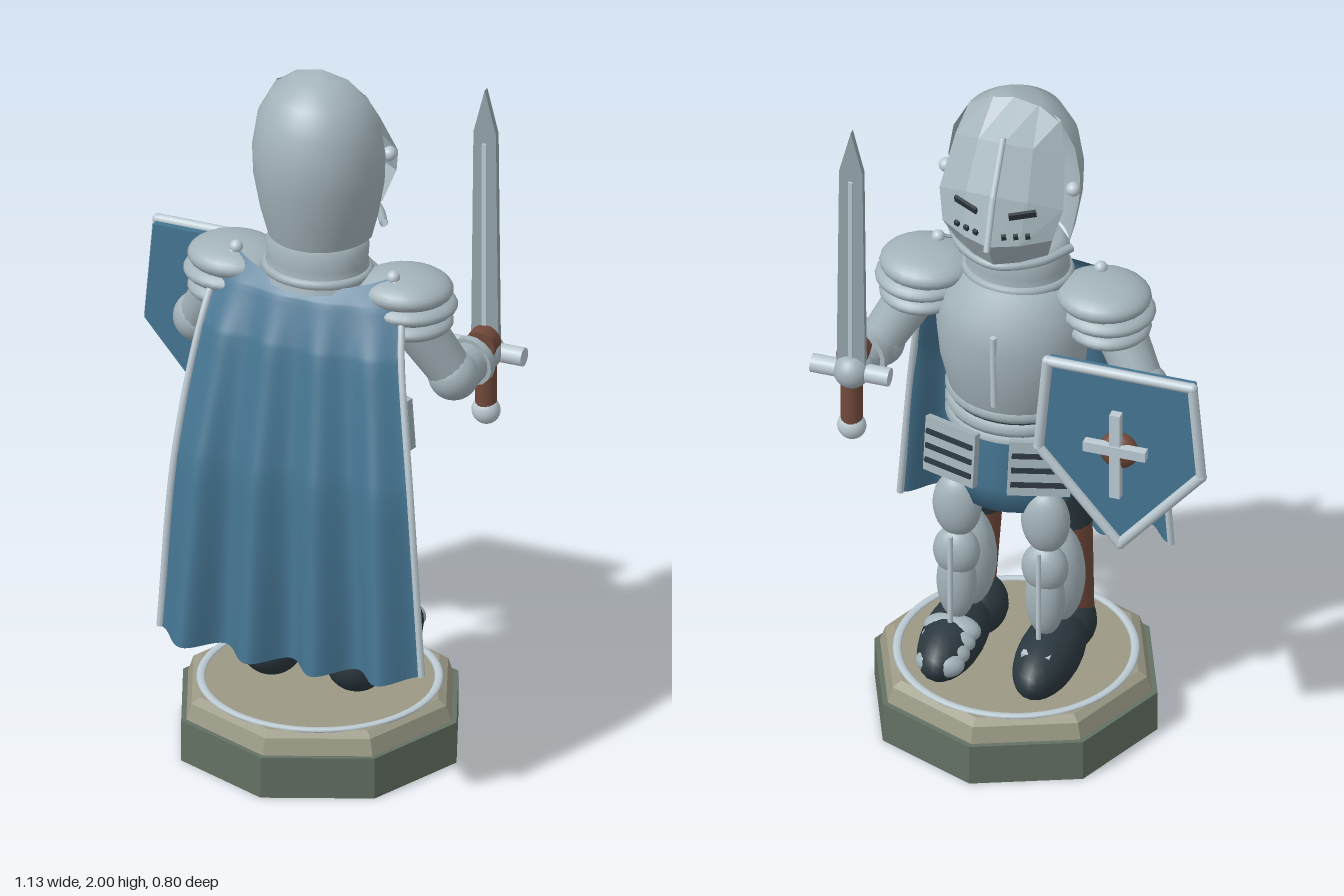
import * as THREE from 'three';

const mat = (name, color, double) => {
  const m = new THREE.MeshStandardMaterial({ color });
  m.name = name;
  if (double) m.side = THREE.DoubleSide;
  return m;
};
const C = 0.05; // body axis in x

export function createModel() {
  const steel = mat('steel', 0xa3b3ba, true), blue = mat('blueCloth', 0x457592, true);
  const dark = mat('darkLeather', 0x2b383f), brown = mat('brownLeather', 0x71493a);
  const stone = mat('stoneTop', 0x9b9985), green = mat('greenBase', 0x637064);
  const pale = mat('paleTrim', 0xbccad2), bladeMat = mat('blade', 0x93a4aa);
  const root = new THREE.Group();

  const add = (name, geo, m, x = 0, y = 0, z = 0) => {
    const mesh = new THREE.Mesh(geo, m);
    mesh.name = name;
    mesh.position.set(x, y, z);
    root.add(mesh);
    return mesh;
  };
  const flat = (geo) => {
    const g = geo.index ? geo.toNonIndexed() : geo;
    g.computeVertexNormals();
    return g;
  };
  const ball = (name, m, [x, y, z], [rx, ry, rz]) =>
    add(name, new THREE.SphereGeometry(1, 24, 16).scale(rx, ry, rz), m, x, y, z);
  const box = (name, m, [x, y, z], [w, h, d]) => add(name, new THREE.BoxGeometry(w, h, d), m, x, y, z);
  const rod = (name, m, a, b, ra, rb = ra, sides = 16) => {
    const p = new THREE.Vector3(...a), q = new THREE.Vector3(...b), d = q.clone().sub(p);
    const mesh = add(name, new THREE.CylinderGeometry(rb, ra, d.length(), sides), m);
    mesh.position.copy(p).add(q).multiplyScalar(0.5);
    mesh.quaternion.setFromUnitVectors(new THREE.Vector3(0, 1, 0), d.normalize());
    return mesh;
  };
  const lathe = (name, m, pts, z, sz, start = 0, sweep = Math.PI * 2) =>
    add(name, new THREE.LatheGeometry(pts.map((p) => new THREE.Vector2(...p)), 32, start, sweep).scale(1, 1, sz), m, C, 0, z);
  // surface from a function of (u, v), both 0..1
  const sheet = (nu, nv, f) => {
    const g = new THREE.PlaneGeometry(1, 1, nu, nv), p = g.attributes.position, uv = g.attributes.uv;
    for (let i = 0; i < p.count; i++) p.setXYZ(i, ...f(uv.getX(i), 1 - uv.getY(i)));
    g.computeVertexNormals();
    return g;
  };

  // eight-sided plinth
  add('plinth', flat(new THREE.CylinderGeometry(0.4, 0.4, 0.12, 8)), green, C, 0.06, 0);
  add('plinthStep', flat(new THREE.CylinderGeometry(0.37, 0.385, 0.045, 8)), stone, C, 0.1425, 0);
  add('plinthTop', flat(new THREE.CylinderGeometry(0.345, 0.37, 0.015, 8)), stone, C, 0.1725, 0);
  add('plinthRing', new THREE.TorusGeometry(0.32, 0.012, 8, 64).rotateX(Math.PI / 2).scale(1, 0.5, 1), pale, C, 0.18, 0);

  // legs, mirrored about the body axis
  for (const s of [-1, 1]) {
    const x = C + s * 0.125;
    ball('boot', dark, [x, 0.275, 0.035], [0.088, 0.09, 0.09]);
    ball('bootToe', dark, [x + s * 0.01, 0.27, -0.12], [0.085, 0.085, 0.19]);
    rod('shin', brown, [x + s * 0.015, 0.3, 0.055], [x, 0.63, 0.06], 0.06, 0.067);
    rod('thigh', dark, [x, 0.6, 0.06], [x - s * 0.01, 0.8, 0.06], 0.075, 0.09);
    ball('calfPlate', steel, [x, 0.48, -0.035], [0.08, 0.16, 0.07]);
    ball('shinPlate', steel, [x, 0.46, -0.13], [0.055, 0.12, 0.045]);
    ball('kneePlate', steel, [x, 0.56, -0.13], [0.065, 0.075, 0.05]);
    ball('thighPlate', steel, [x, 0.71, -0.125], [0.068, 0.1, 0.05]);
    rod('shinRidge', pale, [x, 0.36, -0.185], [x, 0.64, -0.185], 0.007);
  }
  for (let i = 0; i < 4; i++)
    ball('toePlate', steel, [0.18, 0.315 - i * 0.014, -0.15 - i * 0.035], [0.08 - i * 0.004, 0.04, 0.045]);
  for (const dx of [-0.03, 0.03]) box('bootBuckle', pale, [-0.08 + dx, 0.325, -0.22], [0.02, 0.02, 0.02]);

  // skirt, waist bands and hip plates
  lathe('skirt', blue, [[0, 0.745], [0.175, 0.74], [0.19, 0.82], [0.185, 0.97]], 0, 0.95);
  [0.965, 1.005, 1.05].forEach((y) => {
    lathe('waistBand', steel, [[0.15, y - 0.02], [0.185, y - 0.018], [0.195, y], [0.185, y + 0.018], [0.15, y + 0.02]], 0.005, 0.92);
    lathe('waistGap', dark, [[0.178, y - 0.025], [0.178, y + 0.02]], 0.005, 0.92);
  });
  for (const s of [-1, 1]) {
    const plate = new THREE.Group();
    plate.name = 'hipPlate';
    plate.position.set(C + s * 0.125, 0.915, -0.175);
    plate.rotation.set(0.15, -s * 0.35, 0);
    const body = new THREE.Mesh(new THREE.BoxGeometry(0.17, 0.16, 0.02), steel);
    body.name = 'hipPlateBody';
    plate.add(body);
    for (let i = 0; i < 3; i++) {
      const slot = new THREE.Mesh(new THREE.BoxGeometry(0.155, 0.014, 0.008), dark);
      slot.name = 'hipPlateSlot';
      slot.position.set(0, 0.04 - i * 0.043, -0.012);
      plate.add(slot);
    }
    root.add(plate);
  }

  // breastplate and collar
  lathe('breastplate', steel, [[0.15, 1.03], [0.175, 1.07], [0.2, 1.17], [0.21, 1.27], [0.19, 1.36], [0.13, 1.42], [0, 1.44]], -0.028, 0.82);
  rod('breastRidge', pale, [C, 1.1, -0.187], [C, 1.33, -0.197], 0.009);
  lathe('collar', steel, [[0.155, 1.4], [0.145, 1.43], [0.14, 1.46], [0.143, 1.5], [0.12, 1.54], [0, 1.55]], 0.015, 0.85);
  add('collarRoll', new THREE.TorusGeometry(0.14, 0.015, 10, 40).rotateX(Math.PI / 2).scale(1, 1, 0.85), steel, C, 1.425, 0.015);

  // helmet shell, dark face and pivots
  lathe('helmetShell', steel, [[0.145, 1.525], [0.165, 1.6], [0.183, 1.7], [0.186, 1.78], [0.172, 1.87], [0.135, 1.94], [0.075, 1.985], [0, 2]],
    -0.015, 1.07, -Math.PI / 2, Math.PI);
  ball('face', dark, [C, 1.72, -0.1], [0.13, 0.135, 0.052]);
  for (const s of [-1, 1]) ball('visorPivot', pale, [C + s * 0.18, 1.765, -0.055], [0.02, 0.02, 0.02]);

  // raised visor: rows of [centre y, centre z, side x, side y, side z]
  const rows = [[1.995, 0.015, 0.13, 1.95, -0.01], [1.91, -0.11, 0.155, 1.87, -0.05],
    [1.79, -0.19, 0.175, 1.74, -0.125], [1.66, -0.245, 0.155, 1.66, -0.16], [1.57, -0.195, 0.13, 1.58, -0.12]];
  const visorPoint = (u, v) => {
    const r = rows[Math.round(v * 4)], k = u * 2 - 1, t = k * k * 0.55 + Math.abs(k) * 0.45;
    return [C - k * r[2], r[0] + (r[3] - r[0]) * t, r[1] + (r[4] - r[1]) * t];
  };
  add('visor', flat(sheet(4, 4, visorPoint)), steel);
  rod('visorRidge', pale, [C, 1.93, -0.11], [C, 1.79, -0.198], 0.009);
  rod('visorRidgeLower', pale, [C, 1.79, -0.198], [C, 1.65, -0.252], 0.009);
  for (const s of [-1, 1]) {
    const slit = box('eyeSlit', dark, [C + s * 0.08, 1.745, -0.187], [0.075, 0.022, 0.009]);
    slit.rotation.set(-0.35, -s * 0.4, 0);
    for (let i = 0; i < 3; i++) {
      const hole = box('breathHole', dark, [C + s * (0.04 + i * 0.03), 1.69, -0.227 + i * 0.012], [0.013, 0.016, 0.009]);
      hole.rotation.set(-0.35, -s * 0.4, 0);
    }
  }
  const chin = new THREE.CatmullRomCurve3([[-0.17, 1.56, -0.04], [-0.11, 1.56, -0.13], [0, 1.56, -0.185], [0.11, 1.56, -0.13], [0.17, 1.56, -0.04]]
    .map((p) => new THREE.Vector3(p[0] + C, p[1], p[2])));
  add('chinGuard', new THREE.TubeGeometry(chin, 24, 0.012, 8), steel);

  // layered shoulders
  for (const s of [-1, 1]) {
    ball('shoulderCap', steel, [C + s * 0.25, 1.4, -0.005], [0.13, 0.05, 0.12]);
    ball('shoulderLayer', steel, [C + s * 0.262, 1.355, -0.005], [0.13, 0.04, 0.125]);
    ball('shoulderLayerLower', steel, [C + s * 0.265, 1.305, -0.005], [0.115, 0.038, 0.115]);
  }
  // arms: shoulder, elbow, wrist
  const arm = (sh, el, wr) => {
    rod('upperArm', steel, sh, el, 0.07, 0.06);
    ball('elbow', steel, el, [0.07, 0.07, 0.07]);
    rod('forearm', steel, el, wr, 0.066, 0.052);
    const mid = el.map((v, i) => v * 0.45 + wr[i] * 0.55), end = el.map((v, i) => v * 0.3 + wr[i] * 0.7);
    rod('forearmCuff', steel, mid, end, 0.07, 0.07);
    ball('gauntlet', steel, wr, [0.055, 0.052, 0.05]);
  };
  arm([0.33, 1.3, 0], [0.42, 1.14, -0.05], [0.445, 1.15, -0.185]);
  arm([-0.24, 1.3, 0], [-0.33, 1.16, -0.06], [-0.335, 1.1, -0.19]);
  rod('swordGlove', brown, [0.45, 1.18, -0.15], [0.448, 1.18, -0.2], 0.045, 0.045);
  rod('shieldGlove', brown, [-0.335, 1.09, -0.16], [-0.335, 1.08, -0.24], 0.05, 0.04);

  // sword
  const sw = 0.445, sz = -0.21;
  const outline = new THREE.Shape([[-0.04, 1.15], [0.04, 1.15], [0.033, 1.8], [0, 1.93], [-0.033, 1.8]].map((p) => new THREE.Vector2(...p)));
  add('swordBlade', new THREE.ExtrudeGeometry(outline, { depth: 0.018, bevelEnabled: false }), bladeMat, sw, 0, sz - 0.009);
  box('bladeRidge', pale, [sw, 1.47, sz], [0.012, 0.6, 0.03]);
  rod('swordGuard', pale, [sw - 0.108, 1.145, sz], [sw + 0.112, 1.145, sz], 0.026);
  ball('guardCentre', steel, [sw, 1.145, sz], [0.05, 0.05, 0.05]);
  rod('swordGrip', brown, [sw, 0.97, sz], [sw, 1.14, sz], 0.03);
  ball('pommel', pale, [sw, 0.965, sz], [0.04, 0.04, 0.035]);

  // shield with rim, cross and boss
  const sx = -0.325;
  const edge = [[-0.205, 1.325], [0.205, 1.325], [0.23, 1.04], [0, 0.77], [-0.23, 1.04]];
  add('shieldBoard', new THREE.ExtrudeGeometry(new THREE.Shape(edge.map((p) => new THREE.Vector2(...p))),
    { depth: 0.035, bevelEnabled: false }), blue, sx, 0, -0.245);
  edge.forEach((p, i) => {
    const q = edge[(i + 1) % 5];
    rod('shieldRim', pale, [sx + p[0], p[1], -0.245], [sx + q[0], q[1], -0.245], 0.015, 0.015, 8);
    ball('shieldCorner', pale, [sx + p[0], p[1], -0.245], [0.015, 0.015, 0.015]);
  });
  box('shieldCrossUpright', pale, [sx, 1.085, -0.28], [0.03, 0.27, 0.025]);
  box('shieldCrossBar', pale, [sx, 1.105, -0.285], [0.176, 0.03, 0.025]);
  ball('shieldBoss', brown, [sx, 1.085, -0.255], [0.055, 0.055, 0.035]);

  // cape with folds deepening toward the hem: [y, x centre, half width, z]
  const spine = [[1.45, 0.055, 0.23, 0.12], [1.38, 0.055, 0.27, 0.145], [1.25, 0.06, 0.295, 0.2], [0.9, 0.078, 0.345, 0.29], [0.4, 0.092, 0.383, 0.335]];
  const capePoint = (u, v) => {
    const f = Math.min(v * 4, 3.9999), i = Math.floor(f), t = f - i, k = u * 2 - 1;
    const [y, x, w, z] = spine[i].map((a, j) => a + (spine[i + 1][j] - a) * t);
    const fold = -Math.cos(k * Math.PI * 4) * 0.042 * Math.pow(v, 2.2);
    const sag = v > 0.9 ? (1 - k * k) * -0.02 * (v - 0.9) * 10 : 0;
    return [x + k * w, y + sag - (1 - k * k) * 0.04 * Math.max(0, 1 - v * 4), z + fold - k * k * 0.075 * (1 - v)];
  };
  add('cape', sheet(64, 32, capePoint), blue);
  for (const u of [0, 1]) {
    const path = new THREE.CatmullRomCurve3([0, 0.12, 0.25, 0.5, 0.75, 1].map((v) => new THREE.Vector3(...capePoint(u, v))));
    add('capeTrim', new THREE.TubeGeometry(path, 32, 0.01, 8), pale);
    ball('capeClasp', pale, capePoint(u, 0), [0.018, 0.018, 0.018]);
  }
  return root;
}
